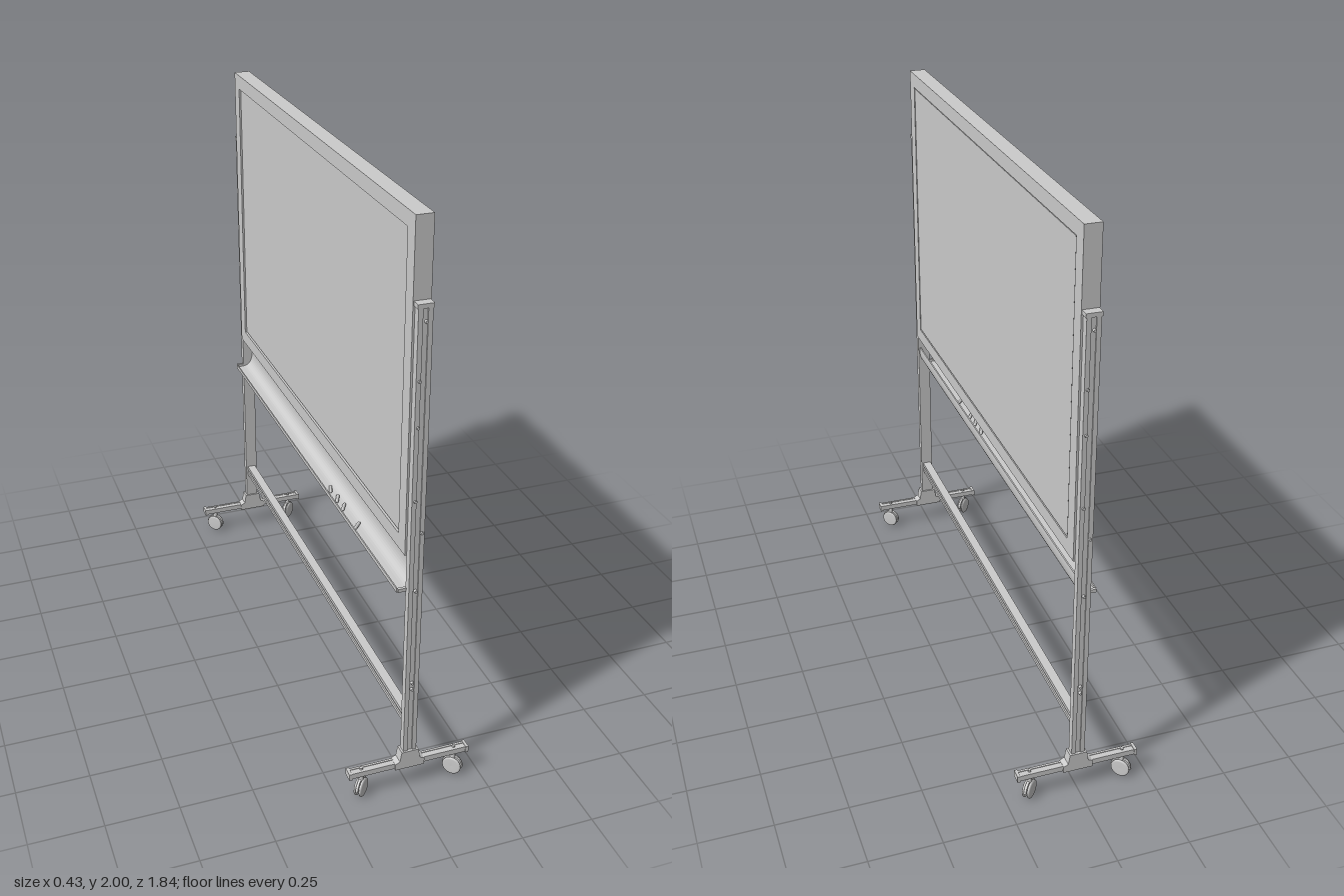
import * as THREE from 'three';

const material = new THREE.MeshStandardMaterial({ color: 0xcccccc, side: THREE.DoubleSide });

function add(parent, name, geometry, x = 0, y = 0, z = 0) {
  const mesh = new THREE.Mesh(geometry, material);
  mesh.name = name;
  mesh.position.set(x, y, z);
  parent.add(mesh);
  return mesh;
}

const box = (x, y, z) => new THREE.BoxGeometry(x, y, z);
const shapeOf = (points) => new THREE.Shape(points.map(([x, y]) => new THREE.Vector2(x, y)));

// Extrudes a shape along z, centred on z = 0
function extrude(shape, depth) {
  const g = new THREE.ExtrudeGeometry(shape, { depth, bevelEnabled: false, curveSegments: 10 });
  return g.translate(0, 0, -depth / 2);
}

const rect = (w, h) => [[-w / 2, -h / 2], [w / 2, -h / 2], [w / 2, h / 2], [-w / 2, h / 2]];

// Board: frame with a slightly recessed writing panel on each face
function makeBoard() {
  const board = new THREE.Group();
  board.name = 'board';
  const outline = shapeOf(rect(1.746, 1.1));
  outline.holes.push(shapeOf(rect(1.638, 0.998)));
  add(board, 'boardFrame', extrude(outline, 0.057).rotateY(Math.PI / 2));
  add(board, 'writingPanel', box(0.05, 0.99, 1.63), 0.002, 0, 0);
  add(board, 'panelBacking', box(0.04, 1.01, 1.65));
  board.position.y = 1.45;
  return board;
}

// Tray: a curved back that sweeps into a ledge with a raised lip
function makeTray() {
  const tray = new THREE.Group();
  tray.name = 'tray';
  const s = new THREE.Shape();
  s.moveTo(0.018, 0.845);
  s.bezierCurveTo(0.022, 0.8, 0.008, 0.77, -0.025, 0.77);
  s.lineTo(-0.053, 0.77);
  s.lineTo(-0.053, 0.785);
  s.lineTo(-0.049, 0.785);
  s.lineTo(-0.049, 0.775);
  s.lineTo(-0.025, 0.775);
  s.bezierCurveTo(0.004, 0.775, 0.017, 0.8, 0.013, 0.845);
  add(tray, 'trayLedge', extrude(s, 1.746));
  for (const z of [0.22, 0.29, 0.35, 0.48]) {
    const marker = add(tray, 'marker', new THREE.CapsuleGeometry(0.006, 0.035, 4, 10), -0.034, 0.781, z);
    marker.rotation.set(Math.PI / 2, 0, z * 1.5);
  }
  return tray;
}

// Lower rail: box section with a groove along both sides
function makeRail() {
  const half = [[0.016, -0.02], [0.016, -0.006], [0.011, -0.006], [0.011, 0.006], [0.016, 0.006], [0.016, 0.02]];
  const other = half.map(([x, y]) => [-x, -y]);
  return extrude(shapeOf([...half, ...other]), 1.75);
}

// Swivel caster with twin wheels and a hood between them
function makeCaster() {
  const caster = new THREE.Group();
  caster.name = 'caster';
  for (const s of [-1, 1]) {
    const profile = [[0, -0.005], [0.027, -0.005], [0.032, -0.003], [0.033, 0], [0.032, 0.003], [0.027, 0.005], [0, 0.004]]
      .map(([r, h]) => new THREE.Vector2(r, h));
    add(caster, 'wheel', new THREE.LatheGeometry(profile, 24).rotateX(Math.PI / 2), 0, 0.033, s * 0.009);
  }
  add(caster, 'axle', new THREE.CylinderGeometry(0.006, 0.006, 0.026, 12).rotateX(Math.PI / 2), 0, 0.033, 0);
  const hood = new THREE.Shape();
  hood.absarc(0, 0.033, 0.036, 0, Math.PI);
  add(caster, 'hood', extrude(hood, 0.008));
  add(caster, 'stem', new THREE.CylinderGeometry(0.007, 0.009, 0.03, 12), 0, 0.078, 0);
  add(caster, 'stemNut', new THREE.CylinderGeometry(0.006, 0.006, 0.006, 6), 0, 0.11, 0);
  return caster;
}

// One upright with its foot, casters and bolts, facing +z
function makeStand() {
  const stand = new THREE.Group();
  stand.name = 'stand';
  const z0 = 0.888;

  // Post with a shallow slot on its outer face
  const section = shapeOf([[-0.023, 0.013], [-0.023, -0.013], [-0.008, -0.013], [-0.008, -0.009],
    [0.008, -0.009], [0.008, -0.013], [0.023, -0.013], [0.023, 0.013]]);
  const post = extrude(section, 1.6).rotateX(-Math.PI / 2);
  add(stand, 'post', post, 0, 0.935, z0);
  add(stand, 'postCap', box(0.052, 0.014, 0.03), 0, 1.739, z0);

  // Flared hub joining the post to the foot
  const hub = shapeOf([[-0.052, 0.082], [0.052, 0.082], [0.052, 0.106], [0.036, 0.114], [0.03, 0.15],
    [-0.03, 0.15], [-0.036, 0.114], [-0.052, 0.106]]);
  add(stand, 'footHub', extrude(hub, 0.038), 0, 0, z0);

  for (const s of [-1, 1]) {
    // Foot arm: core with raised ribs and an end cap
    add(stand, 'footArm', box(0.16, 0.018, 0.03), s * 0.128, 0.096, z0);
    for (const r of [-1, 1]) {
      add(stand, 'footRib', box(0.16, 0.004, 0.008), s * 0.128, 0.105, z0 + r * 0.011);
    }
    add(stand, 'footEnd', box(0.01, 0.024, 0.036), s * 0.209, 0.097, z0);
    const caster = makeCaster();
    caster.position.set(s * 0.166, 0, z0);
    caster.rotation.y = s * Math.PI / 4 + Math.PI;
    if (s > 0) caster.rotation.y = -Math.PI / 4;
    else caster.rotation.y = Math.PI / 4;
    stand.add(caster);
  }

  // Bolt heads on the outer face
  const bolts = [[0.003, 1.69], [-0.012, 1.505], [-0.012, 1.355], [-0.012, 1.105], [0.013, 0.99], [0, 0.78], [0, 0.425], [0, 0.4]];
  for (const [x, y] of bolts) {
    add(stand, 'bolt', new THREE.CylinderGeometry(0.005, 0.006, 0.012, 10).rotateX(Math.PI / 2), x, y, z0 + 0.012);
  }
  return stand;
}

export function createModel() {
  const model = new THREE.Group();
  model.name = 'mobileBoard';
  model.add(makeBoard(), makeTray());
  add(model, 'lowerRail', makeRail(), 0, 0.27, 0);
  // Small end clips on the tray
  for (const s of [-1, 1]) {
    add(model, 'trayEnd', box(0.028, 0.012, 0.01), -0.036, 0.779, s * 0.876);
    const stand = makeStand();
    if (s < 0) stand.rotation.y = Math.PI;
    model.add(stand);
  }
  return model;
}
